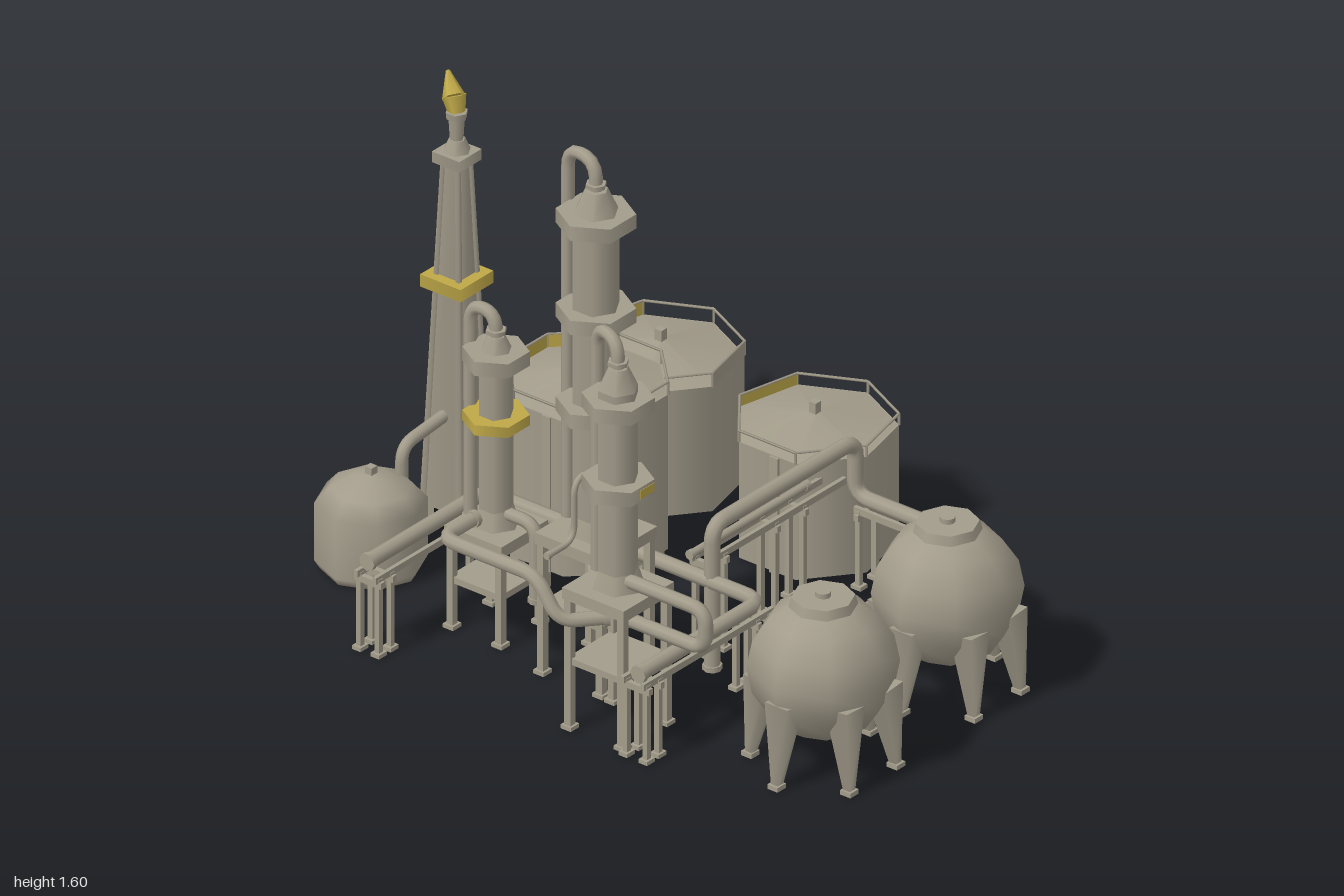
import * as THREE from 'three';

const V = (x, y, z) => new THREE.Vector3(x, y, z);
const UP = V(0, 1, 0);

export function createModel() {
  const root = new THREE.Group();
  root.name = 'refinery';
  const mat = (name, color) => {
    const m = new THREE.MeshStandardMaterial({ color });
    m.name = name;
    return m;
  };
  const steel = mat('warm grey steel', 0xa39c8b);
  const yellow = mat('safety yellow', 0xbfa848);
  const dark = mat('dark opening', 0x0c0c0a);

  const group = (name, x = 0, z = 0, parent = root) => {
    const g = new THREE.Group();
    g.name = name;
    g.position.set(x, 0, z);
    parent.add(g);
    return g;
  };
  const add = (parent, name, geo, x = 0, y = 0, z = 0, m = steel) => {
    const mesh = new THREE.Mesh(geo, m);
    mesh.name = name;
    mesh.position.set(x, y, z);
    parent.add(mesh);
    return mesh;
  };
  const box = (parent, name, w, h, d, x, y, z, m) =>
    add(parent, name, new THREE.BoxGeometry(w, h, d), x, y, z, m);
  // upright prism from y0 to y1
  const drum = (parent, name, rTop, rBot, y0, y1, sides, start = 0, m = steel) =>
    add(parent, name, new THREE.CylinderGeometry(rTop, rBot, y1 - y0, sides, 1, false, start), 0, (y0 + y1) / 2, 0, m);
  // straight strut between two points
  const strut = (parent, name, a, b, rA, rB, sides = 4, m = steel) => {
    const d = b.clone().sub(a);
    const mesh = add(parent, name, new THREE.CylinderGeometry(rB, rA, d.length(), sides, 1, false, Math.PI / 4), 0, 0, 0, m);
    mesh.position.copy(a).addScaledVector(d, 0.5);
    mesh.quaternion.setFromUnitVectors(UP, d.normalize());
    return mesh;
  };
  // pipe through the listed points with rounded elbows and end collars
  const pipe = (parent, name, pts, r, bend = 0.05) => {
    const p = pts.map((c) => V(...c));
    const path = new THREE.CurvePath();
    let last = p[0];
    for (let i = 1; i < p.length - 1; i++) {
      const toward = (q) => p[i].clone().add(q.clone().sub(p[i]).setLength(Math.min(bend, p[i].distanceTo(q) * 0.48)));
      const a = toward(p[i - 1]), b = toward(p[i + 1]);
      path.add(new THREE.LineCurve3(last, a));
      path.add(new THREE.QuadraticBezierCurve3(a, p[i], b));
      last = b;
    }
    path.add(new THREE.LineCurve3(last, p[p.length - 1]));
    add(parent, name, new THREE.TubeGeometry(path, 16 * p.length, r, 8), 0, 0, 0);
    [[0, 1], [p.length - 1, p.length - 2]].forEach(([i, j]) => {
      const inner = p[i].clone().add(p[j].clone().sub(p[i]).setLength(0.016));
      strut(parent, name + 'Collar', p[i], inner, r * 1.2, r * 1.2, 8);
    });
  };

  // spherical tanks on splayed legs
  for (const x of [-0.41, 0.125]) {
    const g = group('sphereTank', x, 0.79);
    add(g, 'sphereShell', new THREE.SphereGeometry(0.21, 8, 8), 0, 0.3, 0);
    drum(g, 'topRing', 0.088, 0.098, 0.475, 0.512, 8);
    drum(g, 'topHatch', 0.022, 0.022, 0.5, 0.527, 8);
    for (let i = 0; i < 6; i++) {
      const a = (i / 6) * Math.PI * 2, c = Math.cos(a), s = Math.sin(a);
      strut(g, 'sphereLeg', V(0.2 * c, 0, 0.2 * s), V(0.165 * c, 0.25, 0.165 * s), 0.015, 0.055);
      box(g, 'sphereFoot', 0.036, 0.014, 0.036, 0.2 * c, 0.007, 0.2 * s);
    }
  }

  // flat storage tanks with cone roofs, guard rails and yellow panels
  const storageTank = (x, z, base, wall, rail, apex, sides, start, panels) => {
    const g = group('storageTank', x, z), r = 0.228;
    drum(g, 'tankWall', r, r, base, wall, sides, start);
    drum(g, 'tankRoof', 0.012, r - 0.004, wall, apex, sides, start);
    box(g, 'roofVent', 0.024, 0.05, 0.024, 0, apex + 0.008, 0);
    for (let i = 0; i < sides; i++) {
      const at = (k, y) => {
        const a = start + (k / sides) * Math.PI * 2;
        return V(r * Math.sin(a), y, r * Math.cos(a));
      };
      const a = at(i, rail), b = at(i + 1, rail), mid = a.clone().lerp(b, 0.5);
      strut(g, 'guardRail', a, b, 0.004, 0.004);
      strut(g, 'railPost', at(i, wall), a, 0.004, 0.004);
      if (!panels.includes(i)) continue;
      const turn = Math.atan2(mid.x, mid.z), h = rail - wall;
      [[0.997, yellow, 'panelInside'], [1.008, steel, 'panelOutside']].forEach(([k, m, name]) => {
        box(g, name, a.distanceTo(b), h, 0.002, mid.x * k, wall + h / 2, mid.z * k, m).rotation.y = turn;
      });
    }
    // ladder down the side
    box(g, 'tankLadder', 0.008, wall - base, 0.03, -r * 0.93, (wall + base) / 2, 0.03);
    return g;
  };
  const middle = storageTank(0.05, -0.41, 0.07, 0.55, 0.59, 0.6, 8, Math.PI / 8, [2, 3]);
  for (let i = 0; i < 8; i++) {
    const a = (i / 8) * Math.PI * 2;
    box(middle, 'tankFoot', 0.03, 0.08, 0.03, 0.19 * Math.sin(a), 0.04, 0.19 * Math.cos(a));
  }
  storageTank(0.525, -0.54, 0, 0.387, 0.43, 0.435, 7, Math.PI / 2, [1, 5]);
  storageTank(0.525, 0, 0, 0.36, 0.395, 0.4, 7, Math.PI / 2, [1, 2]);

  // small domed tank behind
  const dome = group('domedTank', -0.345, -0.845);
  add(dome, 'domedShell', new THREE.LatheGeometry(
    [[0, 0], [0.14, 0], [0.155, 0.025], [0.155, 0.205], [0.115, 0.25], [0.05, 0.283], [0, 0.29]].map((p) => new THREE.Vector2(...p)), 8));
  box(dome, 'domeVent', 0.024, 0.03, 0.024, 0, 0.295, 0);

  // flare stack
  const flare = group('flareStack', -0.02, -0.81), q = Math.PI / 4;
  drum(flare, 'stackTower', 0.036, 0.094, 0.02, 1.13, 4, q);
  for (const sx of [-1, 1]) for (const sz of [-1, 1]) {
    box(flare, 'stackFoot', 0.04, 0.025, 0.04, sx * 0.068, 0.0125, sz * 0.075);
    strut(flare, 'stackEdge', V(sx * 0.066, 0, sz * 0.066), V(sx * 0.026, 1.13, sz * 0.026), 0.012, 0.008);
  }
  [0, 1, 2, 3].forEach((i) => {
    const side = group('stackOpening', 0, 0, flare);
    side.rotation.y = i * Math.PI / 2;
    box(side, 'openingPlate', 0.05, 0.05, 0.006, 0, 0.045, 0.065, dark).rotation.x = -0.037;
  });
  drum(flare, 'warningCollar', 0.1, 0.1, 0.745, 0.783, 4, q, yellow);
  drum(flare, 'stackCap', 0.068, 0.068, 1.13, 1.163, 4, q);
  drum(flare, 'burnerBase', 0.024, 0.04, 1.163, 1.2, 6);
  drum(flare, 'burnerPipe', 0.024, 0.02, 1.2, 1.265, 6);
  drum(flare, 'burnerRim', 0.032, 0.03, 1.265, 1.285, 6);
  strut(flare, 'flameBase', V(0, 1.28, 0), V(0.008, 1.325, -0.016), 0.024, 0.034, 6, yellow);
  strut(flare, 'flameTip', V(0.006, 1.318, -0.014), V(0.042, 1.37, -0.065), 0.034, 0.006, 6, yellow);
  pipe(root, 'flarePipe', [[-0.25, 0.2, -0.815], [-0.25, 0.34, -0.815], [0.33, 0.4, -0.81], [0.33, 0.32, -0.81]], 0.018);

  // distillation columns: x, z, radius, shoulder height, pipe crown, platforms, overhead pipe drop
  const column = (x, z, r, base, top, crown, decks, dx, dz, low) => {
    const g = group('column', x, z);
    const w = r + 0.05;
    drum(g, 'columnShaft', r, r, base, top, 6);
    drum(g, 'columnShoulder', r * 0.5, r, top, top + r * 1.1, 6);
    drum(g, 'columnNeck', 0.03, 0.03, top + r * 1.1 + 0.008, top + r * 1.1 + 0.02, 6);
    drum(g, 'columnSkirt', r, r + 0.022, base, base + 0.07, 6);
    box(g, 'baseSlab', w * 2, 0.035, w * 2, 0, base, 0);
    box(g, 'lowerBrace', w * 1.8, 0.02, w * 1.8, 0, base * 0.5, 0);
    for (const sx of [-1, 1]) for (const sz of [-1, 1]) {
      box(g, 'baseLeg', 0.022, base, 0.022, sx * (w - 0.015), base / 2, sz * (w - 0.015));
      box(g, 'baseFoot', 0.036, 0.012, 0.036, sx * (w - 0.015), 0.006, sz * (w - 0.015));
    }
    decks.forEach(([y, m]) => {
      drum(g, 'deck', r + 0.043, r + 0.043, y - 0.022, y + 0.022, 6, Math.PI / 6);
      if (m) {
        const pad = box(g, 'deckMark', 0.06, 0.026, 0.006, 0, y, (r + 0.041) * 0.867, m);
        pad.position.x = r * 0.3;
      }
    });
    pipe(g, 'overheadPipe', [[0, top, 0], [0, crown - 0.018, 0], [dx, crown - 0.018, dz], [dx, low, dz]], 0.019, 0.06);
    for (const [y] of decks) strut(g, 'pipeBracket', V(0, y - 0.06, 0), V(dx, y - 0.06, dz), 0.009, 0.009);
    return g;
  };
  column(-0.41, -0.005, 0.068, 0.42, 1.42, 1.6, [[0.82, yellow], [1.112], [1.405]], 0.015, -0.11, 0.36);
  column(-0.61, 0.235, 0.058, 0.42, 1.05, 1.21, [[0.752, yellow], [1.005]], 0.035, -0.1, 0.36);
  const small = column(-0.385, -0.375, 0.05, 0.3, 0.845, 0.985, [[0.835]], 0, -0.09, 0.3);
  drum(small, 'yellowDeck', 0.093, 0.093, 0.628, 0.66, 6, Math.PI / 6, yellow);

  // pipes joining the columns
  pipe(root, 'columnLink', [[-0.575, 0.37, 0.13], [-0.5, 0.37, 0.06], [-0.44, 0.37, 0.0]], 0.018);
  pipe(root, 'smallRiser', [[-0.63, 0.45, 0], [-0.51, 0.45, 0], [-0.51, 0.635, 0], [-0.42, 0.635, 0]], 0.009);
  pipe(root, 'backLoop', [[-0.63, 0.34, 0.22], [-0.735, 0.34, 0.13], [-0.735, 0.455, 0.05], [-0.735, 0.455, -0.28], [-0.59, 0.455, -0.28]], 0.021);
  pipe(root, 'frontLoop', [[-0.62, 0.47, 0.25], [-0.62, 0.47, 0.55], [-0.62, 0.35, 0.55], [-0.62, 0.35, 0.27]], 0.021);
  pipe(root, 'reboilerPipe', [[-0.385, 0.36, -0.36], [-0.385, 0.36, -0.235], [-0.385, 0.12, -0.235]], 0.019);

  // long pipe loop and cross pipes
  pipe(root, 'mainLoop', [[-0.72, 0.275, -0.555], [-0.21, 0.275, -0.555], [-0.21, 0.275, 0.41], [-0.74, 0.275, 0.41]], 0.022);
  pipe(root, 'crossPipe', [[-0.205, 0, 0.235], [-0.205, 0.445, 0.235], [0.41, 0.445, 0.235], [0.41, 0.275, 0.235],
    [0.41, 0.275, 0.67], [0.28, 0.275, 0.67]], 0.023);
  pipe(root, 'lowPipe', [[-0.2, 0.2, 0.57], [0.4, 0.2, 0.57]], 0.014);
  pipe(root, 'innerPipe', [[-0.2, 0.32, 0.15], [0.31, 0.32, 0.15]], 0.012);

  // pipe racks: two rails on paired posts, running along x or along z
  const rack = (x, z, length, width, height, bents, alongZ) => {
    const g = group('pipeRack', x, z);
    if (alongZ) g.rotation.y = Math.PI / 2;
    for (const s of [-1, 1]) box(g, 'rackRail', length, 0.02, 0.012, 0, height, s * width / 2);
    for (const t of bents) {
      box(g, 'rackBeam', 0.016, 0.02, width + 0.03, t, height - 0.018, 0);
      for (const s of [-1, 1]) {
        box(g, 'rackPost', 0.016, height, 0.016, t, height / 2, s * width / 2);
        box(g, 'rackFoot', 0.034, 0.012, 0.03, t, 0.006, s * width / 2);
      }
    }
  };
  rack(-0.46, -0.545, 0.56, 0.065, 0.24, [-0.26, -0.21, 0.21, 0.26]);
  rack(-0.46, 0.39, 0.56, 0.07, 0.24, [-0.26, -0.21, 0.21, 0.26]);
  rack(0.12, 0.165, 0.6, 0.05, 0.3, [-0.28, -0.22, 0, 0.12]);
  rack(0.43, 0.43, 0.37, 0.07, 0.24, [-0.17, 0, 0.17], true);

  return root;
}
